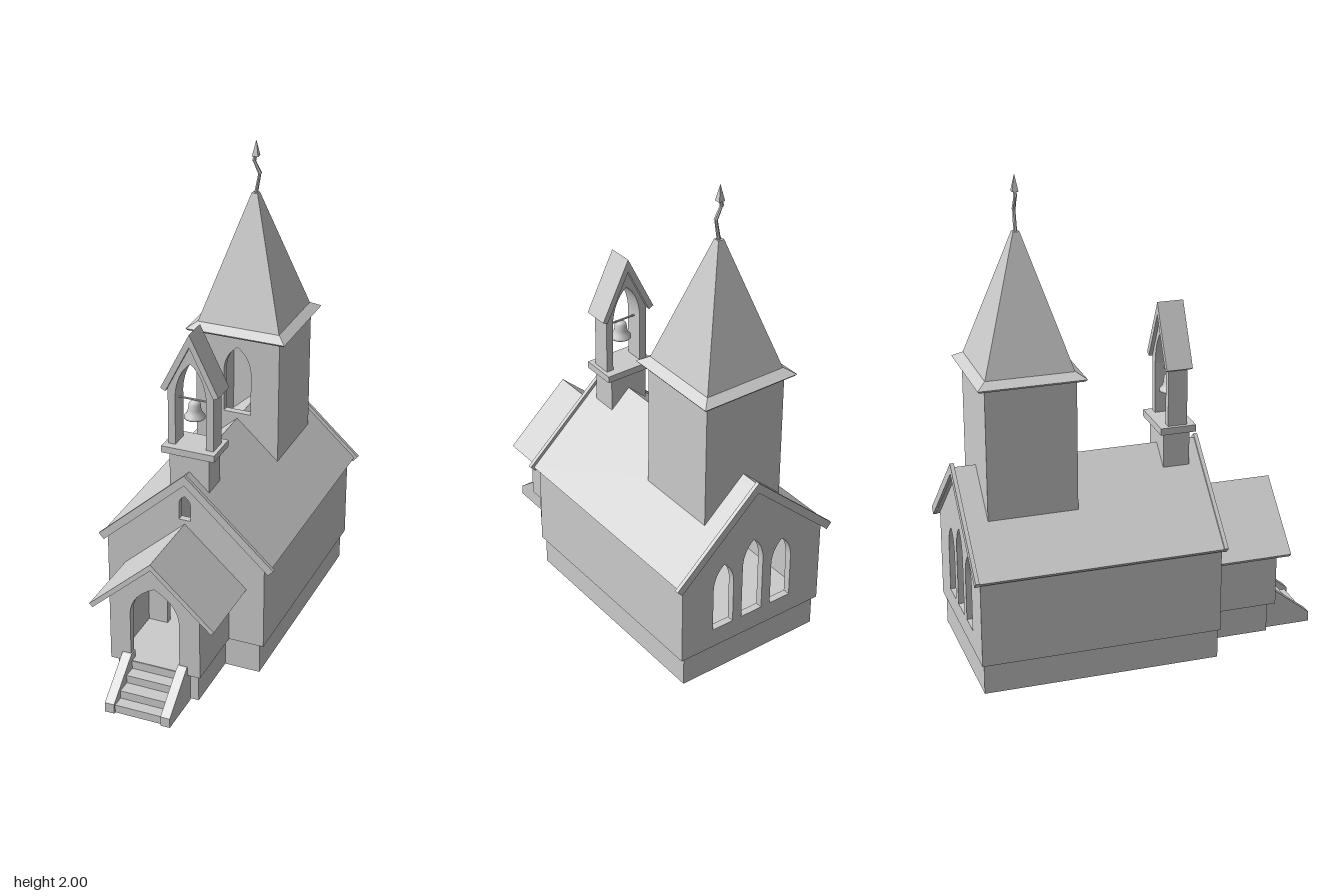
import * as THREE from 'three';

const mat = new THREE.MeshStandardMaterial({ color: 0xcccccc, flatShading: true });
const openMat = new THREE.MeshStandardMaterial({ color: 0xcccccc, side: THREE.DoubleSide });

const poly = (pts) => new THREE.Shape(pts.map(([x, y]) => new THREE.Vector2(x, y)));

// Pointed arch outline: straight jambs up to the spring line, curved to the apex
function arch(cx, hw, bottom, spring, apex) {
  const p = new THREE.Path();
  const k = spring + (apex - spring) * 0.65;
  p.moveTo(cx - hw, bottom);
  p.lineTo(cx + hw, bottom);
  p.lineTo(cx + hw, spring);
  p.quadraticCurveTo(cx + hw * 0.92, k, cx, apex);
  p.quadraticCurveTo(cx - hw * 0.92, k, cx - hw, spring);
  p.closePath();
  return p;
}

// Gable wall outline with openings
function gable(hw, bottom, eave, peak, holes = []) {
  const s = poly([[-hw, bottom], [hw, bottom], [hw, eave], [0, peak], [-hw, eave]]);
  s.holes.push(...holes);
  return s;
}

// Inverted V of constant thickness, cut square at the eaves
function chevron(hw, eave, peak, t) {
  const len = Math.hypot(hw, peak - eave);
  const nx = ((peak - eave) / len) * t, ny = (hw / len) * t;
  return poly([[-hw, eave], [-hw + nx, eave - ny], [0, peak - (t * len) / hw],
    [hw - nx, eave - ny], [hw, eave], [0, peak]]);
}

export function createModel() {
  const root = new THREE.Group();
  root.name = 'chapel';
  const body = new THREE.Group();
  body.name = 'building';
  body.position.x = -0.005;
  root.add(body);

  const add = (name, geo, material = mat, parent = body) => {
    const m = new THREE.Mesh(geo, material);
    m.name = name;
    parent.add(m);
    return m;
  };
  const box = (name, x0, x1, y0, y1, z0, z1, parent) => {
    const g = new THREE.BoxGeometry(x1 - x0, y1 - y0, z1 - z0);
    g.translate((x0 + x1) / 2, (y0 + y1) / 2, (z0 + z1) / 2);
    return add(name, g, mat, parent);
  };
  // Extrudes an x-y outline between two z planes
  const slab = (name, shape, z0, z1, parent) => {
    const g = new THREE.ExtrudeGeometry(shape, { depth: z1 - z0, bevelEnabled: false, curveSegments: 8 });
    g.translate(0, 0, z0);
    return add(name, g, mat, parent);
  };
  // Extrudes a z-y outline between two x planes
  const sideSlab = (name, shape, x0, x1) => {
    const g = new THREE.ExtrudeGeometry(shape, { depth: x1 - x0, bevelEnabled: false });
    g.rotateY(-Math.PI / 2);
    g.translate(x1, 0, 0);
    return add(name, g);
  };
  const pyramid = (name, half0, half1, y0, y1, z) => {
    const g = new THREE.CylinderGeometry(half1 * Math.SQRT2, half0 * Math.SQRT2, y1 - y0, 4);
    g.rotateY(Math.PI / 4);
    g.translate(0, (y0 + y1) / 2, z);
    return add(name, g);
  };
  const T = 0.03; // wall thickness

  // Foundations and floors
  box('naveFoundation', -0.325, 0.325, 0.005, 0.135, -0.71, 0.265);
  box('porchFoundation', -0.175, 0.175, 0.005, 0.135, 0.25, 0.54);
  box('naveFloor', -0.34, 0.34, 0.135, 0.142, -0.718, 0.268);
  box('porchFloor', -0.19, 0.19, 0.135, 0.142, 0.26, 0.568);

  // Nave walls
  slab('naveFrontWall', gable(0.3425, 0.135, 0.505, 0.825, [
    arch(0, 0.08, 0.142, 0.33, 0.435), arch(0, 0.025, 0.65, 0.72, 0.757)]), 0.27 - T, 0.27);
  slab('naveBackWall', gable(0.3425, 0.135, 0.505, 0.825, [
    arch(0, 0.05, 0.22, 0.47, 0.577),
    arch(-0.143, 0.049, 0.22, 0.42, 0.52), arch(0.143, 0.049, 0.22, 0.42, 0.52)]), -0.72, -0.72 + T);
  for (const s of [-1, 1]) {
    const x = s * (0.3425 - T / 2);
    box('naveSideWall', x - T / 2, x + T / 2, 0.135, 0.515, -0.72 + T, 0.27 - T);
  }

  // Nave roof with boards closing both ends
  slab('naveRoof', chevron(0.37, 0.507, 0.845, 0.02), -0.735, 0.275);
  for (const z of [-0.745, 0.27]) {
    slab('bargeboard', chevron(0.381, 0.512, 0.86, 0.033), z, z + 0.016).position.x = 0.005;
  }

  // Porch
  slab('porchFrontWall', gable(0.193, 0.135, 0.43, 0.607, [arch(0, 0.105, 0.142, 0.37, 0.5)]), 0.57 - T, 0.57);
  for (const s of [-1, 1]) {
    const x = s * (0.193 - T / 2);
    box('porchSideWall', x - T / 2, x + T / 2, 0.135, 0.437, 0.265, 0.57 - T);
  }
  slab('porchRoof', chevron(0.267, 0.39, 0.632, 0.02), 0.27, 0.603);

  // Entrance stairs: folded steps between two sloping side walls
  const steps = [[0.735, 0.035], [0.685, 0.07], [0.625, 0.105]];
  const outline = [[0.735, 0.0]];
  steps.forEach(([z, y], i) => outline.push([z, y], [i < 2 ? steps[i + 1][0] : 0.572, y]));
  outline.push([0.572, 0.14], [0.54, 0.14], [0.54, 0.09], [0.61, 0.09], [0.61, 0.09],
    [0.67, 0.055], [0.72, 0.02], [0.72, 0]);
  sideSlab('steps', poly(outline.filter((p, i) => i !== 11)), -0.1, 0.1);
  const rail = [[0.745, 0], [0.745, 0.042], [0.577, 0.175], [0.54, 0.175], [0.54, 0]];
  for (const x of [-0.14, 0.1]) sideSlab('stairSideWall', poly(rail), x, x + 0.04);

  // Tower: hollow, with an arched opening in the front
  const tz = -0.46, th = 0.183;
  const face = poly([[-th, 0.665], [th, 0.665], [th, 1.23], [-th, 1.23]]);
  face.holes.push(arch(0, 0.06, 0.87, 1.06, 1.17));
  slab('towerFrontWall', face, tz + th - T, tz + th);
  box('towerBackWall', -th, th, 0.665, 1.23, tz - th, tz - th + T);
  for (const s of [-1, 1]) {
    const x = s * (th - T / 2);
    box('towerSideWall', x - T / 2, x + T / 2, 0.665, 1.23, tz - th + T, tz + th - T);
  }
  pyramid('towerEaveEdge', 0.21, 0.217, 1.222, 1.231, tz);
  pyramid('towerEave', 0.217, 0.18, 1.231, 1.255, tz);
  pyramid('spire', 0.18, 0.013, 1.25, 1.78, tz);

  // Crooked finial with a pointed head
  const bends = [[0, 1.77], [0.017, 1.865], [-0.008, 1.915], [0, 1.95]]
    .map(([x, y]) => new THREE.Vector3(x, y, tz));
  const up = new THREE.Vector3(0, 1, 0);
  for (let i = 0; i < 3; i++) {
    const d = bends[i + 1].clone().sub(bends[i]);
    const rod = add('finialRod', new THREE.CylinderGeometry(0.006, 0.008, d.length() + 0.006, 6));
    rod.position.copy(bends[i]).addScaledVector(d, 0.5);
    rod.quaternion.setFromUnitVectors(up, d.normalize());
  }
  pyramid('finialHead', 0.013, 0.0005, 1.935, 2, tz);

  // Bell gable on the ridge
  const belfry = new THREE.Group();
  belfry.name = 'belfry';
  body.add(belfry);
  box('belfryPedestal', -0.085, 0.085, 0.755, 0.925, 0.11, 0.22, belfry);
  box('belfryLedge', -0.113, 0.113, 0.918, 0.947, 0.09, 0.238, belfry);
  const frame = poly([[-0.097, 0.945], [-0.066, 0.945], [-0.066, 1.16]]);
  frame.quadraticCurveTo(-0.06, 1.26, 0, 1.31);
  frame.quadraticCurveTo(0.06, 1.26, 0.066, 1.16);
  [[0.066, 0.945], [0.097, 0.945], [0.097, 1.21], [0, 1.4], [-0.097, 1.21]].forEach(([x, y]) => frame.lineTo(x, y));
  slab('belfryFrame', frame, 0.125, 0.205, belfry);
  slab('belfryRoof', chevron(0.123, 1.192, 1.44, 0.024), 0.11, 0.218, belfry);

  // Bell, axle and clapper
  const bz = 0.165;
  const axle = add('bellAxle', new THREE.CylinderGeometry(0.004, 0.004, 0.15, 8), mat, belfry);
  axle.rotation.z = Math.PI / 2;
  axle.position.set(0, 1.14, bz);
  const profile = [[0.036, 1.062], [0.043, 1.062], [0.042, 1.07], [0.031, 1.083], [0.026, 1.1],
    [0.024, 1.122], [0.016, 1.133], [0, 1.136]].map(([r, y]) => new THREE.Vector2(r, y));
  const bell = add('bell', new THREE.LatheGeometry(profile, 24), openMat, belfry);
  bell.position.z = bz;
  const clapper = add('bellClapper', new THREE.SphereGeometry(0.01, 12, 8), openMat, belfry);
  clapper.position.set(0, 1.056, bz);

  return root;
}
